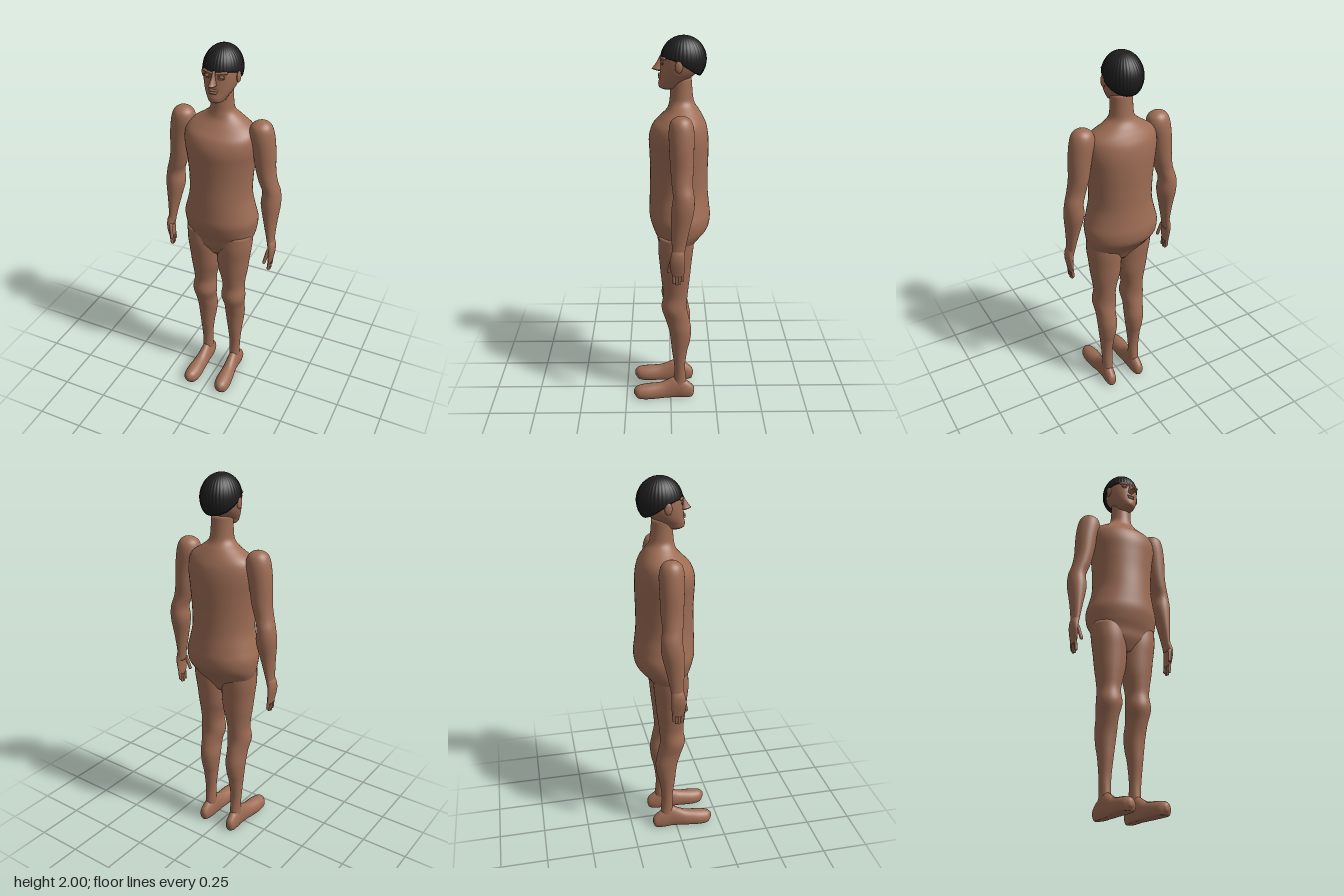
import * as THREE from 'three';

const skin = new THREE.MeshStandardMaterial({ color: 0x9e6d55 });
skin.name = 'brown skin';
const black = new THREE.MeshStandardMaterial({ color: 0x1d1d1d });
black.name = 'black hair';

// Indexed surface from stacked rings, closed at both ends
function skinRings(rings) {
  const n = rings[0].length, pos = [], idx = [];
  rings.forEach(r => r.forEach(p => pos.push(p.x, p.y, p.z)));
  for (let i = 0; i < rings.length - 1; i++) {
    for (let j = 0; j < n; j++) {
      const a = i * n + j, b = i * n + (j + 1) % n;
      idx.push(a, b, b + n, a, b + n, a + n);
    }
  }
  [0, rings.length - 1].forEach((row, top) => {
    const c = rings[row].reduce((s, p) => s.add(p), new THREE.Vector3()).divideScalar(n);
    const k = pos.length / 3;
    pos.push(c.x, c.y, c.z);
    for (let j = 0; j < n; j++) {
      const a = row * n + j, b = row * n + (j + 1) % n;
      idx.push(...(top ? [a, b, k] : [b, a, k]));
    }
  });
  const g = new THREE.BufferGeometry();
  g.setAttribute('position', new THREE.Float32BufferAttribute(pos, 3));
  g.setIndex(idx);
  g.computeVertexNormals();
  return g;
}

// Smooth elliptical loft; each row is [y, xMin, xMax, zMin, zMax]
function loft(rows, sides = 32, sub = 5) {
  const curve = f => new THREE.CatmullRomCurve3(rows.map(f), false, 'catmullrom', 0.5);
  const mid = curve(r => new THREE.Vector3((r[1] + r[2]) / 2, r[0], (r[3] + r[4]) / 2));
  const half = curve(r => new THREE.Vector3((r[2] - r[1]) / 2, 0, (r[4] - r[3]) / 2));
  const steps = (rows.length - 1) * sub, rings = [];
  for (let i = 0; i <= steps; i++) {
    const c = mid.getPoint(i / steps), h = half.getPoint(i / steps);
    rings.push(Array.from({ length: sides }, (_, j) => {
      const a = j / sides * Math.PI * 2;
      return new THREE.Vector3(c.x + h.x * Math.sin(a), c.y, c.z + h.z * Math.cos(a));
    }));
  }
  return skinRings(rings);
}

const symmetric = rows => rows.map(([y, w, b, f]) => [y, -w, w, b, f]);
const sided = (rows, s) => rows.map(([y, a, b, c, d]) => s > 0 ? [y, a, b, c, d] : [y, -b, -a, c, d]);

function add(parent, name, geometry, material = skin) {
  const m = new THREE.Mesh(geometry, material);
  m.name = name;
  parent.add(m);
  return m;
}

// Rounded rod between two points
function rod(parent, name, a, b, r) {
  const p = new THREE.Vector3(...a), q = new THREE.Vector3(...b), d = q.clone().sub(p);
  const m = add(parent, name, new THREE.CapsuleGeometry(r, d.length(), 6, 12));
  m.position.copy(p).add(q).multiplyScalar(0.5);
  m.quaternion.setFromUnitVectors(new THREE.Vector3(0, 1, 0), d.normalize());
  return m;
}

function ball(parent, name, p, s) {
  const m = add(parent, name, new THREE.SphereGeometry(1, 20, 14));
  m.position.set(...p);
  m.scale.set(...s);
  return m;
}

const TORSO = [
  [0.86, 0.1, -0.08, 0.03], [0.92, 0.165, -0.115, 0.062], [0.97, 0.183, -0.155, 0.075],
  [1.02, 0.195, -0.195, 0.095], [1.08, 0.2, -0.206, 0.11], [1.14, 0.185, -0.2, 0.11],
  [1.22, 0.167, -0.192, 0.108], [1.32, 0.168, -0.19, 0.105], [1.42, 0.178, -0.192, 0.108],
  [1.5, 0.19, -0.19, 0.11], [1.56, 0.187, -0.18, 0.092], [1.6, 0.165, -0.163, 0.055],
  [1.64, 0.107, -0.14, 0.02], [1.675, 0.066, -0.118, 0.008], [1.72, 0.057, -0.109, 0.003],
  [1.8, 0.055, -0.102, 0]];

const HEAD = [
  [1.742, 0.022, -0.01, 0.04], [1.752, 0.04, -0.045, 0.057], [1.772, 0.052, -0.07, 0.061],
  [1.795, 0.067, -0.095, 0.056], [1.825, 0.08, -0.13, 0.053], [1.86, 0.088, -0.15, 0.05],
  [1.9, 0.088, -0.155, 0.045], [1.94, 0.07, -0.13, 0.02], [1.97, 0.03, -0.09, -0.03]];

const NOSE = [
  [1.83, 0.01, 0.035, 0.065], [1.84, 0.018, 0.035, 0.092], [1.85, 0.015, 0.035, 0.085],
  [1.875, 0.009, 0.035, 0.067], [1.905, 0.008, 0.03, 0.051]];

const ARM = [
  [0.94, 0.277, 0.312, -0.062, -0.003], [1.0, 0.266, 0.306, -0.07, -0.003],
  [1.1, 0.243, 0.312, -0.09, 0], [1.2, 0.22, 0.322, -0.112, 0], [1.27, 0.224, 0.317, -0.112, -0.008],
  [1.33, 0.205, 0.3, -0.104, -0.002], [1.4, 0.186, 0.288, -0.108, 0.004],
  [1.5, 0.168, 0.285, -0.11, 0.01], [1.58, 0.15, 0.276, -0.11, 0.012],
  [1.625, 0.156, 0.263, -0.1, 0.004], [1.647, 0.178, 0.243, -0.08, -0.018],
  [1.656, 0.203, 0.218, -0.056, -0.042]];

const PALM = [
  [0.855, 0.283, 0.3, -0.06, -0.008], [0.88, 0.281, 0.305, -0.066, 0.002],
  [0.93, 0.28, 0.314, -0.069, 0.008], [0.97, 0.274, 0.314, -0.067, 0.002],
  [1.0, 0.268, 0.304, -0.065, -0.006]];

const LEG = [
  [0.06, 0.06, 0.118, -0.09, -0.01], [0.12, 0.057, 0.115, -0.085, -0.018],
  [0.2, 0.056, 0.119, -0.08, -0.019], [0.3, 0.047, 0.127, -0.092, -0.006],
  [0.36, 0.038, 0.134, -0.106, 0], [0.43, 0.031, 0.14, -0.112, 0.01],
  [0.5, 0.032, 0.143, -0.1, 0.03], [0.57, 0.02, 0.154, -0.086, 0.05],
  [0.64, 0.025, 0.147, -0.09, 0.041], [0.7, 0.014, 0.153, -0.096, 0.046],
  [0.76, -0.002, 0.163, -0.103, 0.053], [0.84, -0.008, 0.172, -0.11, 0.06],
  [0.92, -0.006, 0.182, -0.118, 0.066], [1.0, 0.005, 0.185, -0.12, 0.06]];

// Heel-to-toe sections: [z, xMin, xMax, -top, -bottom]
const FOOT = [
  [-0.132, 0.08, 0.1, -0.05, -0.025], [-0.12, 0.067, 0.115, -0.072, 0.005],
  [-0.08, 0.057, 0.121, -0.105, 0.02], [-0.03, 0.055, 0.12, -0.125, 0.02],
  [0.02, 0.054, 0.124, -0.102, 0.02], [0.06, 0.053, 0.131, -0.085, 0.02],
  [0.13, 0.05, 0.139, -0.076, 0.02], [0.18, 0.06, 0.134, -0.068, 0.015],
  [0.2, 0.078, 0.119, -0.056, -0.008], [0.208, 0.09, 0.107, -0.045, -0.02]];

function footGeometry(s) {
  const g = loft(sided(FOOT, s)).rotateX(Math.PI / 2), p = g.attributes.position;
  for (let i = 0; i < p.count; i++) p.setY(i, Math.max(0, p.getY(i)));
  g.computeVertexNormals();
  return g;
}

// Finely ridged cap: high fringe, lower at the nape
function hairGeometry() {
  const sides = 144, rows = 20, rings = [];
  for (let i = 0; i < rows; i++) {
    rings.push(Array.from({ length: sides }, (_, j) => {
      const a = j / sides * Math.PI * 2;
      const edge = THREE.MathUtils.lerp(1.808, 1.897, THREE.MathUtils.smoothstep(Math.cos(a), -1.15, 0.75));
      const phi = Math.acos((edge - 1.885) / 0.115) * (1 - i / rows);
      const r = Math.sin(phi) * (1 + 0.012 * Math.cos(a * 36));
      return new THREE.Vector3(0.095 * r * Math.sin(a), 1.885 + 0.115 * Math.cos(phi), -0.062 + 0.112 * r * Math.cos(a));
    }));
  }
  return skinRings(rings);
}

export function createModel() {
  const model = new THREE.Group();
  model.name = 'standingMan';
  add(model, 'torsoAndNeck', loft(symmetric(TORSO), 48));

  // Head and face
  const head = new THREE.Group();
  head.name = 'head';
  model.add(head);
  add(head, 'skull', loft(symmetric(HEAD), 40));
  add(head, 'hair', hairGeometry(), black);
  add(head, 'nose', loft(symmetric(NOSE), 16));
  rod(head, 'upperLip', [-0.016, 1.812, 0.055], [0.016, 1.812, 0.055], 0.006);
  rod(head, 'lowerLip', [-0.013, 1.801, 0.056], [0.013, 1.801, 0.056], 0.007);

  for (const s of [1, -1]) {
    const side = s > 0 ? 'left' : 'right';
    rod(head, side + 'Brow', [s * 0.014, 1.894, 0.046], [s * 0.056, 1.897, 0.031], 0.007);
    ball(head, side + 'Eye', [s * 0.036, 1.877, 0.039], [0.013, 0.008, 0.009]);
    const lid = add(head, side + 'Eyelid', new THREE.TorusGeometry(0.015, 0.003, 8, 24));
    lid.position.set(s * 0.036, 1.877, 0.043);
    lid.scale.y = 0.75;
    lid.rotation.y = s * 0.3;
    ball(head, side + 'Ear', [s * 0.09, 1.862, -0.038], [0.009, 0.029, 0.019]);

    // Arm and hand
    const arm = new THREE.Group();
    arm.name = side + 'Arm';
    model.add(arm);
    add(arm, side + 'ArmLimb', loft(sided(ARM, s)));
    add(arm, side + 'Palm', loft(sided(PALM, s), 24));
    [0.82, 0.811, 0.814, 0.83].forEach((tip, i) => {
      const z = -0.012 - i * 0.0145;
      rod(arm, side + 'Finger', [s * 0.293, 0.88, z], [s * 0.288, tip, z - 0.001], 0.0078);
    });
    rod(arm, side + 'Thumb', [s * 0.287, 0.945, -0.002], [s * 0.273, 0.875, 0.013], 0.009);

    // Leg and foot
    const leg = new THREE.Group();
    leg.name = side + 'Leg';
    model.add(leg);
    add(leg, side + 'LegLimb', loft(sided(LEG, s)));
    add(leg, side + 'Foot', footGeometry(s));
  }
  return model;
}
